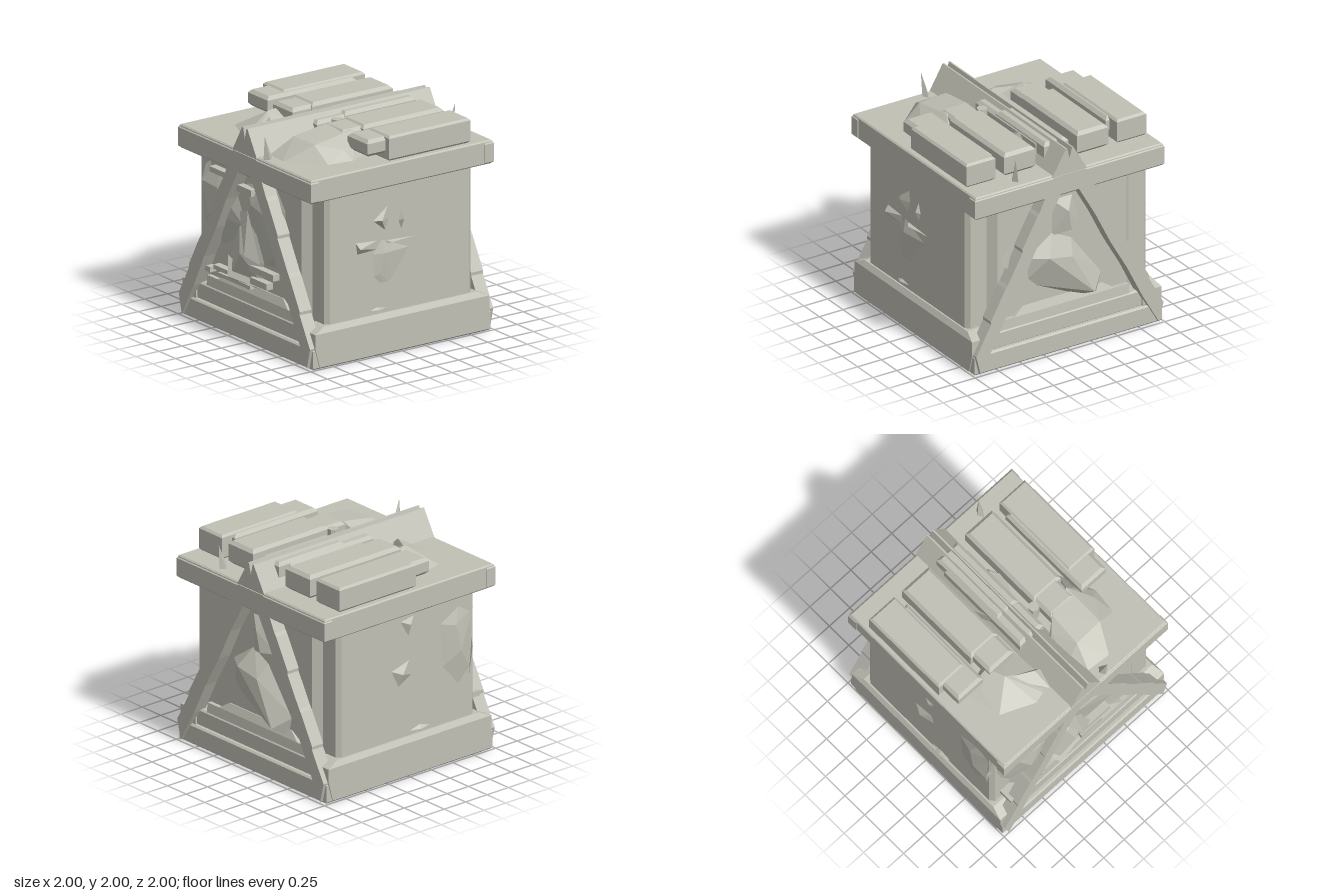
import * as THREE from 'three';
import { ConvexGeometry } from 'three/addons/geometries/ConvexGeometry.js';

export function createModel() {
  const root = new THREE.Group();
  const stone = new THREE.MeshStandardMaterial({ color: 0xc1c0b5 });
  stone.name = 'paleStone';

  const add = (name, geometry) => {
    const m = new THREE.Mesh(geometry, stone);
    m.name = name;
    root.add(m);
    return m;
  };
  const hull = (name, pts) =>
    add(name, new ConvexGeometry(pts.map((p) => new THREE.Vector3(...p))));
  // Box from its limits, with optional chamfer all round the top and bottom edges
  const block = (name, x0, x1, y0, y1, z0, z1, c = 0, cy = c) => {
    const pts = [];
    for (const [y, i] of c ? [[y0, c], [y0 + cy, 0], [y1 - cy, 0], [y1, c]] : [[y0, 0], [y1, 0]])
      for (const x of [x0 + i, x1 - i]) for (const z of [z0 + i, z1 - i]) pts.push([x, y, z]);
    return hull(name, pts);
  };
  const extrude = (name, pts, z0, z1) => {
    const shape = new THREE.Shape(pts.map((p) => new THREE.Vector2(...p)));
    const g = new THREE.ExtrudeGeometry(shape, { depth: z1 - z0, bevelEnabled: false });
    g.translate(0, 0, z0);
    return add(name, g);
  };

  // Plinth: stepped core with a chamfered rail down each side
  block('plinthFoot', -0.99, 0.99, 0, 0.19, -0.97, 0.97, 0.015);
  block('plinthStep', -0.97, 0.97, 0.18, 0.345, -0.93, 0.93, 0.015);
  for (const s of [-1, 1]) {
    const pts = [];
    for (const [y, z, x] of [[0.02, 0.9, 1], [0.2, 0.95, 1], [0.33, 0.95, 1], [0.38, 0.83, 0.97]])
      for (const e of [-1, 1]) pts.push([s * x, y, e * z], [s * 0.8, y, e * z]);
    hull('plinthSideRail', pts);
  }

  // Body: block with narrow corner chamfers and a raised panel front and back
  const wall = [];
  for (const y of [0.3, 1.58])
    for (const sx of [-1, 1])
      for (const sz of [-1, 1]) wall.push([sx * 0.955, y, sz * 0.76], [sx * 0.92, y, sz * 0.8]);
  hull('body', wall);
  for (const s of [-1, 1]) {
    const panel = [];
    for (const y of [0.3, 1.58])
      for (const sx of [-1, 1]) panel.push([sx * 0.77, y, s * 0.78], [sx * 0.68, y, s * 0.87]);
    hull('facePanel', panel);
    const ledge = [];
    for (const [x, y, z] of [[0.68, 0.34, 0.92], [0.68, 0.43, 0.91]])
      for (const sx of [-1, 1]) ledge.push([sx * x, y, s * z], [sx * x, y, s * 0.8]);
    hull('panelSill', ledge);
    const slope = [];
    for (const [x, y, z] of [[0.53, 0.43, 0.91], [0.42, 0.5, 0.88]])
      for (const sx of [-1, 1]) slope.push([sx * x, y, s * z], [sx * x, y, s * 0.8]);
    hull('panelSillCap', slope);
  }

  // Lid slab and the notched ridge along its middle
  block('lid', -0.99, 0.99, 1.55, 1.77, -0.99, 0.99, 0.012);
  extrude('ridge', [[-0.18, 1.76], [0.18, 1.76], [0.04, 2], [0.025, 2], [0, 1.9],
    [-0.025, 2], [-0.04, 2]], -0.995, 0.995);

  // Sloping legs at each end, with worn jogs along their edges
  for (const ez of [-1, 1])
    for (const ex of [-1, 1]) {
      const outer = [], inner = [];
      for (let i = 0; i <= 5; i++) {
        const t = i / 5;
        const jog = i % 2 ? 0.012 : 0;
        outer.push([ex * (0.17 + 0.83 * t - jog), 1.75 - 1.55 * t]);
        if (i > 0 && i < 5) outer.push([ex * (0.18 + 0.83 * t - 0.012 + jog), 1.72 - 1.55 * t]);
        inner.push([ex * (0.09 + 0.84 * t + jog), 1.58 - 1.565 * t]);
      }
      const pts = [...outer, ...inner.reverse(), [0, 1.58], [0, 1.75]];
      if (ex > 0) pts.reverse();
      extrude('frameLeg', pts, ez > 0 ? 0.87 : -1, ez > 0 ? 1 : -0.87);
    }
  for (const ez of [-1, 1])
    block('frameBand', -1, 1, 1.56, 1.75, ez * 0.95 - 0.05, ez * 0.95 + 0.05, 0.01);

  // Roof planks: a long main slab with a shorter offset slab beside it
  for (const s of [-1, 1]) {
    const span = (a, b) => (s > 0 ? [a, b] : [-b, -a]);
    block('outerPlank', ...span(0.6, 0.9), 1.83, 1.985, -0.66, 0.31, 0.03);
    block('outerPlankBacking', ...span(0.64, 0.95), 1.77, 2, -0.78, 0.11, 0.02);
    block('innerPlank', ...span(0.23, 0.52), 1.8, 1.975, -0.66, 0.31, 0.03);
    block('innerPlankBacking', ...span(0.22, 0.55), 1.77, 1.99, -0.78, 0.1, 0.03);
  }
  block('middlePlank', -0.15, 0.14, 1.8, 1.96, -0.66, 0.31, 0.03);
  block('middlePlankBacking', -0.13, 0.13, 1.8, 1.98, -0.78, 0, 0.03);
  const peg = add('peg', new THREE.CylinderGeometry(0.05, 0.05, 0.2, 7).toNonIndexed());
  peg.geometry.computeVertexNormals();
  peg.position.set(0.19, 1.87, 0.13);

  // Boulders on the lid
  hull('leftRoofBoulder', [[-0.78, 1.76, 0.25], [-0.7, 1.76, 0.62], [-0.36, 1.76, 0.77],
    [-0.26, 1.77, 0.72], [-0.12, 1.76, 0.56], [-0.2, 1.76, 0.1], [-0.44, 1.93, 0.42],
    [-0.5, 1.92, 0.25], [-0.66, 1.82, 0.35]]);
  hull('leftRoofChip', [[-0.27, 1.76, 0.65], [-0.18, 1.76, 0.74], [-0.07, 1.77, 0.56],
    [-0.45, 1.9, 0.42], [-0.2, 1.88, 0.55]]);
  hull('rightRoofBoulder', [[0.06, 1.76, 0.45], [0.08, 1.76, 0.68], [0.17, 1.76, 0.86],
    [0.4, 1.76, 0.88], [0.72, 1.76, 0.6], [0.75, 1.76, 0.35], [0.6, 1.76, 0],
    [0.15, 1.88, 0.4], [0.24, 1.92, 0.63], [0.53, 1.91, 0.62], [0.66, 1.86, 0.4],
    [0.52, 1.97, 0.2], [0.25, 1.97, 0.3]]);
  hull('rearRoofShard', [[0.14, 1.77, -0.55], [0.26, 1.77, -0.3], [0.14, 1.95, -0.4], [0.1, 1.77, 0]]);
  hull('rearRoofShard', [[-0.2, 1.77, -0.6], [-0.24, 1.77, -0.4], [-0.16, 1.93, -0.1], [-0.1, 1.77, 0.1]]);

  // Thorns near the ends of the lid
  for (const [x, z, tx, tz] of [[0.26, 0.93, 0.28, 0.98], [0.5, -0.88, 0.52, -0.92]])
    hull('thorn', [[x - 0.035, 1.76, z], [x, 1.76, z + 0.05], [x + 0.035, 1.76, z],
      [x, 1.76, z - 0.05], [tx, 1.99, tz]]);

  // Boulders bursting from the front
  hull('frontLeftBoulder', [[-0.98, 1.04, 0.75], [-0.87, 1.42, 0.78], [-0.6, 1.54, 0.82],
    [-0.3, 1.5, 0.84], [-0.18, 1.02, 0.88], [-0.4, 0.75, 0.86], [-0.7, 0.62, 0.82],
    [-0.95, 0.7, 0.72], [-0.62, 1.03, 0.95], [-0.75, 1.3, 0.92], [-0.5, 1.3, 0.94]]);
  hull('frontUpperBoulder', [[-0.2, 1.5, 0.84], [0.3, 1.54, 0.86], [0.54, 1.4, 0.82],
    [0.55, 1.1, 0.82], [0.5, 0.66, 0.82], [0.1, 0.7, 0.86], [-0.2, 1.0, 0.86],
    [0.3, 1.2, 0.94], [0, 1.27, 0.93], [0.35, 0.9, 0.92]]);
  hull('frontCentreBoulder', [[-0.4, 0.76, 0.84], [-0.15, 1.06, 0.86], [0.1, 1.06, 0.86],
    [0.14, 0.73, 0.86], [0.12, 0.52, 0.86], [-0.24, 0.48, 0.86], [-0.28, 0.56, 0.94],
    [-0.1, 0.8, 0.98], [-0.17, 1.02, 0.93]]);
  hull('frontShard', [[-0.18, 1.16, 0.92], [-0.06, 1.2, 0.92], [0.13, 0.74, 0.92],
    [-0.02, 0.8, 0.99], [-0.04, 0.74, 0.88]]);
  hull('frontShard', [[-0.38, 0.7, 0.9], [-0.24, 0.48, 0.9], [0.14, 0.51, 0.9], [-0.28, 0.54, 0.98]]);

  // Exposed bricks on the front panel
  for (const [x0, x1, y0, y1] of [[-0.61, -0.2, 1.42, 1.47], [-0.2, 0.02, 1.35, 1.41],
    [-0.02, 0.35, 0.65, 0.71], [0, 0.25, 0.54, 0.6], [-0.55, -0.3, 0.53, 0.57],
    [-0.48, 0, 0.48, 0.515], [-0.86, -0.6, 0.48, 0.53]])
    block('brick', x0, x1, y0, y1, 0.8, 0.94);

  // Leaning boulders on the back
  hull('backBoulder', [[0.42, 0.95, -0.84], [0.1, 1.15, -0.86], [-0.1, 1.05, -0.86],
    [-0.42, 0.62, -0.86], [-0.36, 0.44, -0.88], [-0.2, 0.45, -0.88], [0.4, 0.7, -0.84],
    [0.2, 0.95, -0.98], [-0.27, 0.5, -0.99], [-0.05, 0.9, -0.97]]);
  hull('backUpperBoulder', [[-0.14, 1.5, -0.84], [0.15, 1.5, -0.84], [0.12, 1.1, -0.86],
    [-0.2, 1.15, -0.86], [-0.02, 1.35, -0.95], [-0.06, 1.15, -0.94]]);
  hull('backChip', [[0.7, 1.0, -0.78], [0.55, 1.15, -0.86], [0.5, 0.85, -0.86], [0.62, 0.95, -0.92]]);

  // Splintered rock on the right-hand wall
  const X = 0.945;
  hull('wallRock', [[X, 1.1, 0.2], [X, 0.94, 0.33], [X, 0.72, 0.32], [X, 0.6, 0.2],
    [X, 0.6, 0.06], [X, 0.94, -0.2], [0.985, 0.94, 0.18], [0.97, 0.75, 0.22]]);
  hull('wallShard', [[X, 1.25, 0.3], [X, 1.39, 0.11], [X, 1.25, 0.1], [X, 1.12, 0.14], [1, 1.25, 0.22]]);
  hull('wallShard', [[X, 1.09, 0.48], [X, 0.96, 0.46], [X, 0.97, 0.2], [X, 1.07, 0.2], [1, 1.03, 0.46]]);
  hull('wallShard', [[X, 1.33, -0.02], [X, 1.2, 0.02], [X, 1.1, -0.02], [X, 1.2, -0.06], [0.99, 1.22, -0.02]]);
  hull('wallShard', [[X, 1.05, 0.16], [X, 1.03, -0.24], [X, 1.01, 0.16], [0.99, 1.03, 0.1]]);
  hull('wallChip', [[X, 0.42, 0.34], [X, 0.45, 0.25], [X, 0.42, 0.1], [0.98, 0.42, 0.25]]);

  // Rock on the left-hand wall
  hull('wallRock', [[-X, 1.5, 0.62], [-X, 1.35, 0.35], [-X, 0.9, 0.38], [-X, 0.65, 0.6],
    [-X, 0.8, 0.76], [-X, 1.4, 0.78], [-1, 1.05, 0.6], [-0.99, 1.3, 0.55]]);
  hull('wallShard', [[-X, 1.12, 0.05], [-X, 1.05, -0.2], [-X, 0.85, -0.1], [-X, 0.95, 0.08], [-1, 1, -0.08]]);
  hull('wallShard', [[-X, 1.53, 0.1], [-X, 1.5, -0.1], [-X, 1.3, 0.02], [-0.99, 1.45, 0.02]]);
  hull('wallChip', [[-X, 0.42, 0.3], [-X, 0.46, 0.15], [-X, 0.42, 0], [-0.99, 0.42, 0.15]]);

  return root;
}
